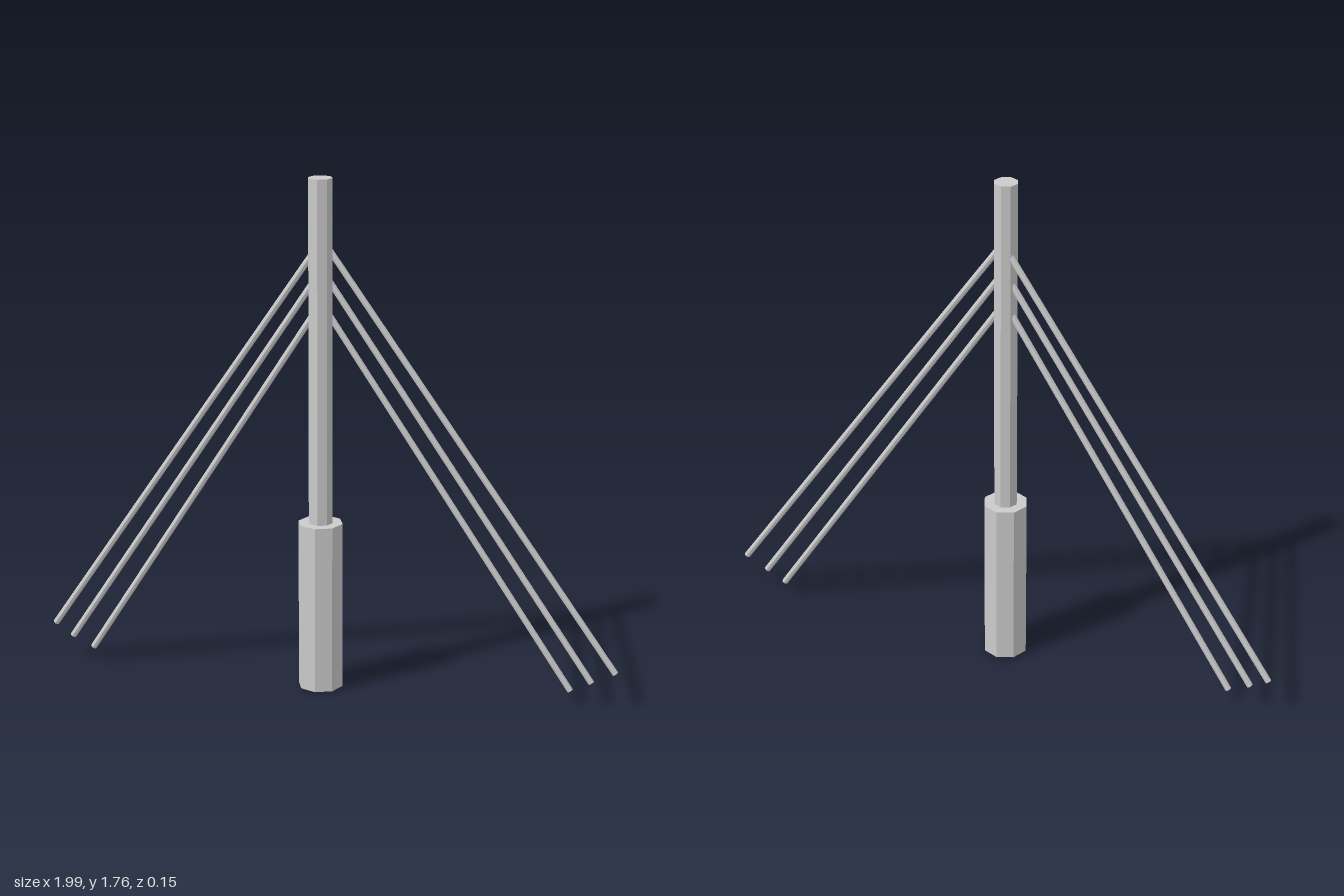
import * as THREE from 'three';

export function createModel() {
  const model = new THREE.Group();
  const material = new THREE.MeshStandardMaterial({ color: 0xcccccc, flatShading: true });
  const axisX = -0.025;

  // upright eight-sided prism on the mast axis
  function addPrism(name, radius, bottom, top) {
    const mesh = new THREE.Mesh(new THREE.CylinderGeometry(radius, radius, top - bottom, 8), material);
    mesh.position.set(axisX, (bottom + top) / 2, 0);
    mesh.name = name;
    model.add(mesh);
  }

  // thin straight rod between two points
  function addRod(name, from, to) {
    const dir = to.clone().sub(from);
    const mesh = new THREE.Mesh(new THREE.CylinderGeometry(0.011, 0.011, dir.length(), 8), material);
    mesh.position.copy(from).add(to).multiplyScalar(0.5);
    mesh.quaternion.setFromUnitVectors(new THREE.Vector3(0, 1, 0), dir.normalize());
    mesh.name = name;
    model.add(mesh);
  }

  addPrism('base', 0.077, 0, 0.585);
  addPrism('mast', 0.041, 0.585, 1.76);

  // three parallel rods on each side: [end x, end y, height where it meets the mast, z]
  const rods = {
    leftRod: [[0.985, 0.13, 1.5, -0.016], [0.905, 0.09, 1.395, -0.016], [0.835, 0.055, 1.28, -0.016]],
    rightRod: [[-0.99, 0.13, 1.49, -0.018], [-0.925, 0.09, 1.39, -0.011], [-0.85, 0.055, 1.28, -0.011]],
  };
  for (const [name, list] of Object.entries(rods)) {
    list.forEach(([x, y, meetY, z], i) => {
      const meetX = axisX + Math.sign(x) * 0.04;
      const end = new THREE.Vector3(x, y, z);
      // run the rod on to just inside the mast
      const start = new THREE.Vector3(meetX, meetY, z).lerp(end, -0.02);
      addRod(name + (i + 1), start, end);
    });
  }
  return model;
}
